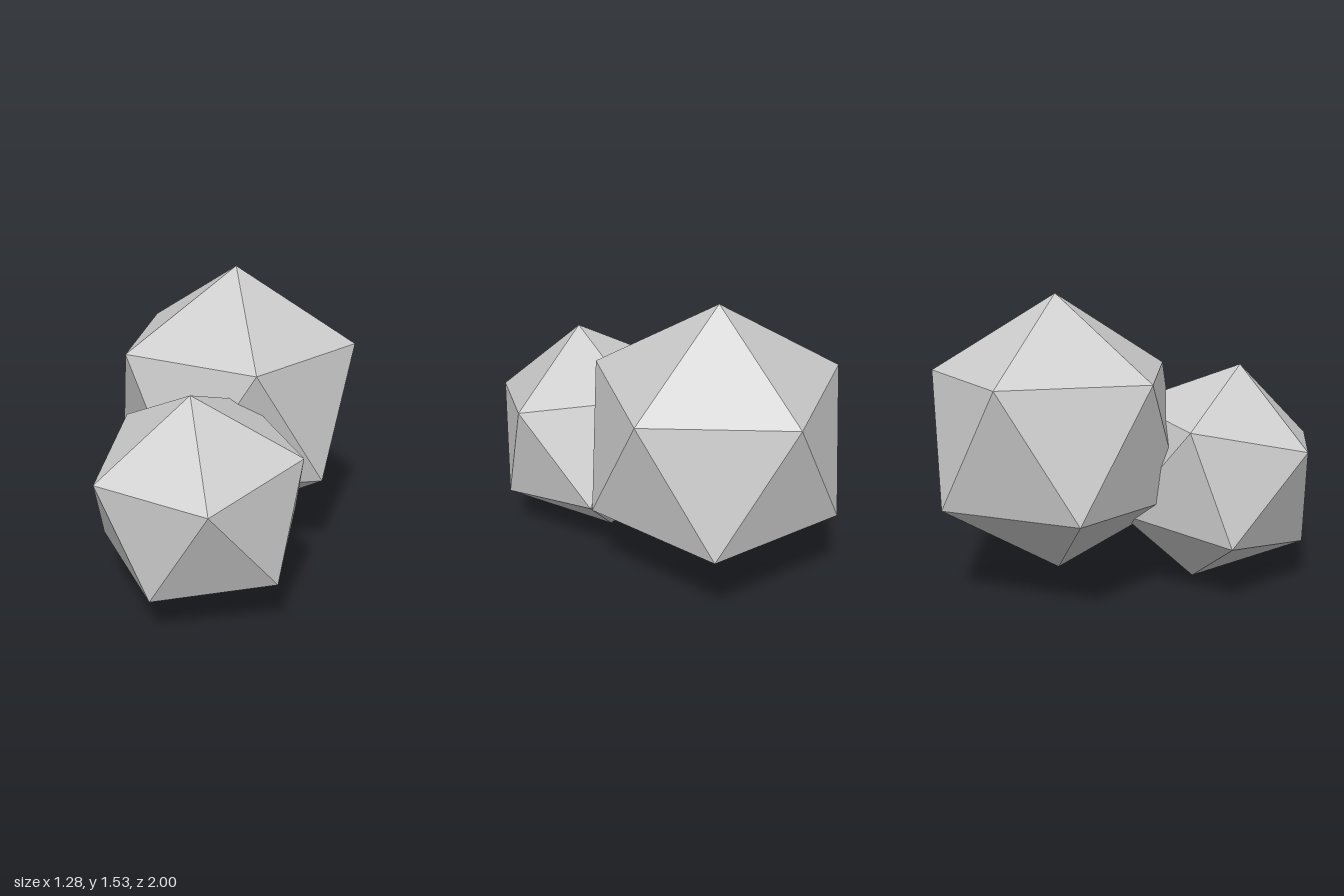
import * as THREE from 'three';

// Icosahedron standing on one corner, with an upper-ring corner towards +x
function standingRock(name, radius, position, xAxis, yAxis) {
  const geometry = new THREE.IcosahedronGeometry(radius, 0);
  geometry.rotateX(-Math.atan((1 + Math.sqrt(5)) / 2));
  geometry.rotateY(Math.PI / 2);

  const material = new THREE.MeshStandardMaterial({ color: 0xcccccc, flatShading: true });
  const rock = new THREE.Mesh(geometry, material);
  rock.name = name;
  rock.position.set(...position);

  // Lean the rock so its corner-to-corner axis follows yAxis
  const y = new THREE.Vector3(...yAxis).normalize();
  const z = new THREE.Vector3(...xAxis).cross(y).normalize();
  const x = new THREE.Vector3().crossVectors(y, z);
  rock.quaternion.setFromRotationMatrix(new THREE.Matrix4().makeBasis(x, y, z));
  return rock;
}

export function createModel() {
  const group = new THREE.Group();
  group.name = 'rocks';

  // Upright large rock at the back, smaller leaning rock in front
  group.add(standingRock('largeRock', 0.718, [0, 0.815, -0.389], [1, 0, 0], [0, 1, 0]));
  group.add(standingRock('smallRock', 0.587, [-0.045, 0.577, 0.453], [0.998, 0.028, 0.033], [-0.034, 0.98, 0.2]));

  return group;
}
